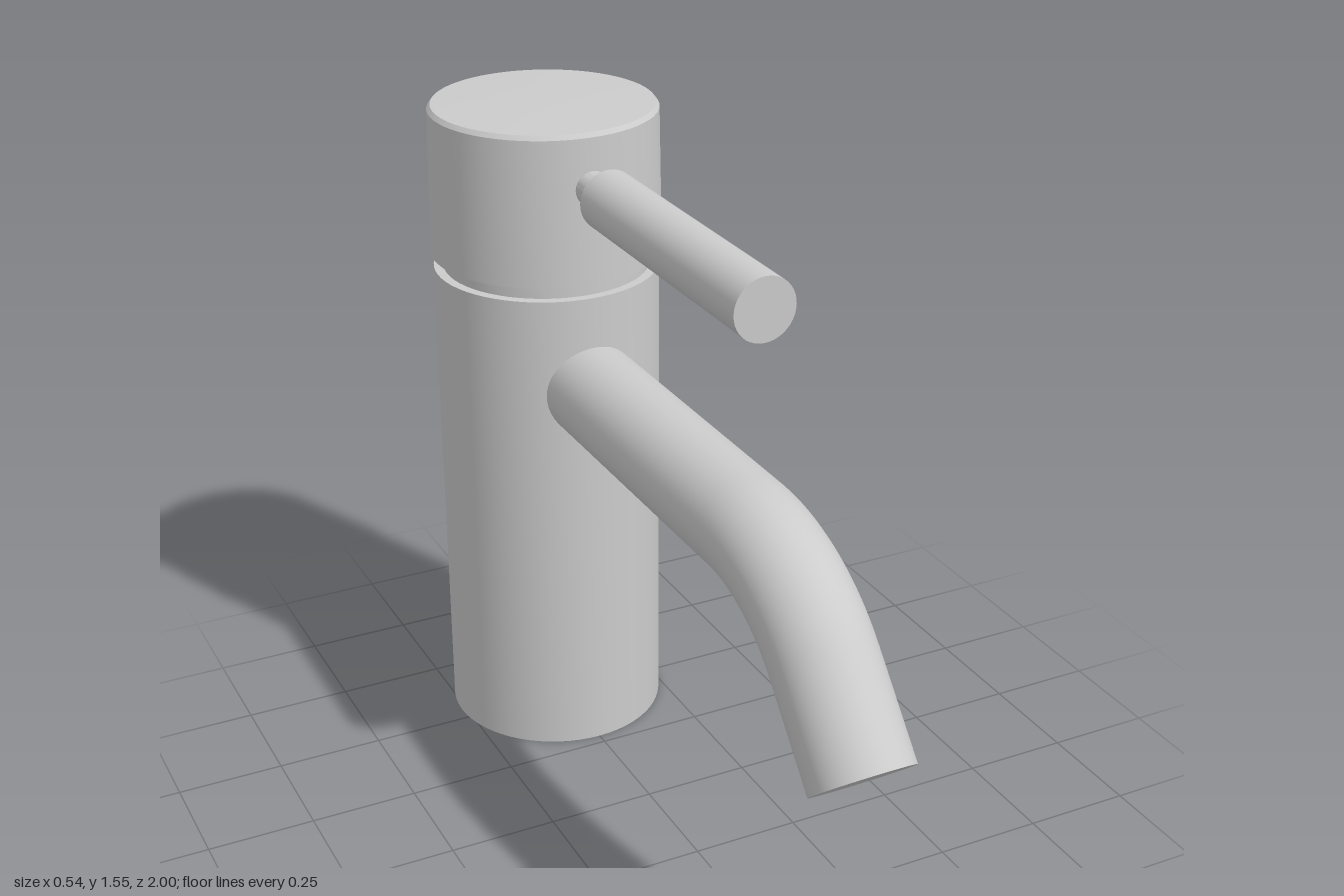
import * as THREE from 'three';
import { toCreasedNormals } from 'three/addons/utils/BufferGeometryUtils.js';

const material = new THREE.MeshStandardMaterial({ color: 0xcccccc });
const BODY_Z = -0.54;

function addMesh(parent, name, geometry) {
  const mesh = new THREE.Mesh(geometry, material);
  mesh.name = name;
  parent.add(mesh);
  return mesh;
}

// Turned solid with crisp edges; profile is [radius, height] from bottom to top
function turned(profile, sides = 64) {
  const points = profile.map(([r, y]) => new THREE.Vector2(r, y));
  return toCreasedNormals(new THREE.LatheGeometry(points, sides), 0.5);
}

// Bent pipe with flat end caps
function addPipe(parent, name, curve, radius, segments, sides) {
  const group = new THREE.Group();
  group.name = name;
  addMesh(group, name + 'Tube', new THREE.TubeGeometry(curve, segments, radius, sides));
  for (const end of [0, 1]) {
    const cap = addMesh(group, name + 'Cap', new THREE.CircleGeometry(radius, sides));
    const outward = curve.getTangentAt(end).multiplyScalar(end ? 1 : -1);
    cap.position.copy(curve.getPointAt(end));
    cap.quaternion.setFromUnitVectors(new THREE.Vector3(0, 0, 1), outward);
  }
  parent.add(group);
}

export function createModel() {
  const model = new THREE.Group();
  model.name = 'basinTap';
  const p = (y, z) => new THREE.Vector3(0, y, z);

  // Main column with the narrow neck under the head
  addMesh(model, 'body', turned([
    [0, 0], [0.262, 0], [0.262, 1.165], [0.24, 1.165], [0.24, 1.21], [0, 1.21],
  ])).position.z = BODY_Z;

  // Turning head, slightly tapered, with a bevelled rim and shallow dome
  addMesh(model, 'head', turned([
    [0, 1.2], [0.268, 1.2], [0.262, 1.535], [0.254, 1.545], [0.12, 1.549], [0, 1.55],
  ])).position.z = BODY_Z;

  // Flush grub screw at the back of the head
  const screw = addMesh(model, 'grubScrew', new THREE.CylinderGeometry(0.028, 0.028, 0.03, 20));
  screw.rotation.x = Math.PI / 2;
  screw.position.set(0, 1.33, BODY_Z - 0.252);

  // Lever: thin stem and thicker grip, turned along z
  const lever = addMesh(model, 'lever', turned([
    [0, -0.32], [0.04, -0.32], [0.04, -0.195], [0.068, -0.195], [0.068, 0.495], [0, 0.495],
  ], 40));
  lever.rotation.x = Math.PI / 2;
  lever.position.y = 1.42;

  // Spout: straight run, circular bend, straight outlet
  const bendStart = 0.44, bendRadius = 0.428, bendAngle = 0.85, outlet = 0.237;
  const spout = new THREE.CurvePath();
  const bend = [];
  for (let i = 0; i <= 16; i++) {
    const a = (bendAngle * i) / 16;
    bend.push(p(0.935 - bendRadius * (1 - Math.cos(a)), bendStart + bendRadius * Math.sin(a)));
  }
  const bendEnd = bend[16];
  const tip = p(bendEnd.y - outlet * Math.sin(bendAngle), bendEnd.z + outlet * Math.cos(bendAngle));
  spout.add(new THREE.LineCurve3(p(0.935, -0.4), bend[0]));
  spout.add(new THREE.CatmullRomCurve3(bend));
  spout.add(new THREE.LineCurve3(bendEnd, tip));
  addPipe(model, 'spout', spout, 0.11, 80, 48);

  // Small waste lever hooked out of the back
  const hook = new THREE.CurvePath();
  hook.add(new THREE.LineCurve3(p(0.31, -0.765), p(0.39, -0.803)));
  hook.add(new THREE.CubicBezierCurve3(p(0.39, -0.803), p(0.44, -0.825), p(0.47, -0.84), p(0.47, -0.885)));
  hook.add(new THREE.LineCurve3(p(0.47, -0.885), p(0.47, -1)));
  addPipe(model, 'wasteLever', hook, 0.021, 40, 20);

  return model;
}
